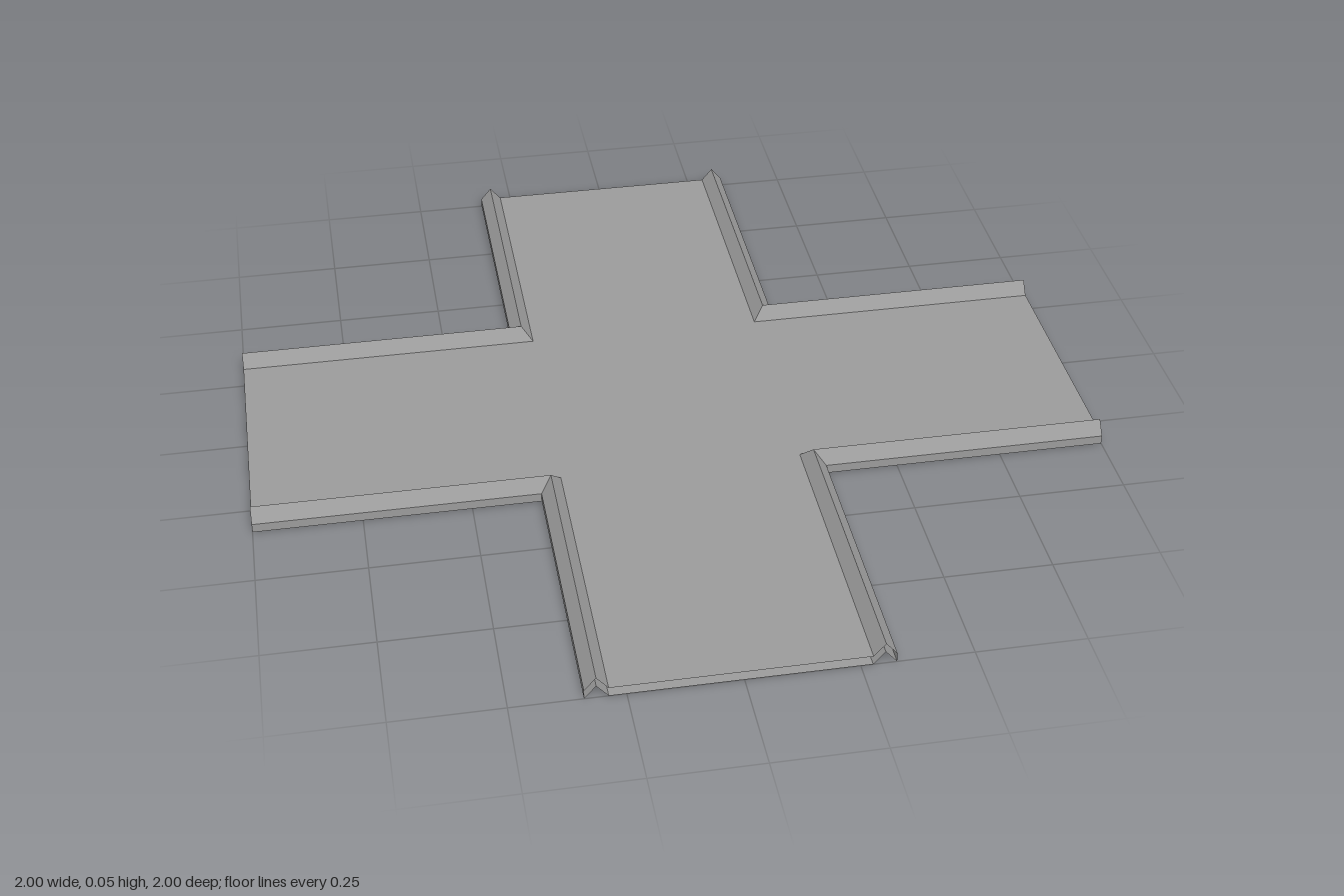
import * as THREE from 'three';

const material = new THREE.MeshStandardMaterial({ color: 0x9b9b9b, flatShading: true, side: THREE.DoubleSide });

// Outer corner points of the four L-shaped rails, in order around the cross
const corners = [[0.329, 0.337], [0.337, -0.332], [-0.332, -0.342], [-0.34, 0.329]];

// Rail section: distance inward from the outer edge, height
const RAIL = 0.052, FLOOR = 0.022;
const section = [[RAIL, FLOOR], [0.026, 0.053], [0, FLOOR], [0, 0], [0.026, 0.031], [RAIL, 0]];

// Mitred L path round one corner, moved inward by d
function cornerPath([cx, cz], d) {
  const sx = Math.sign(cx), sz = Math.sign(cz);
  const x = cx - sx * d, z = cz - sz * d;
  return [[x, sz], [x, z], [sx, z]];
}

// Folded rail swept round one corner, open at its ends
function railGeometry(corner) {
  const flip = corner[0] * corner[1] < 0;
  const pos = [], index = [];
  for (const [d, y] of section) {
    for (const [x, z] of cornerPath(corner, d)) pos.push(x, y, z);
  }
  for (let j = 0; j < section.length - 1; j++) {
    for (let i = 0; i < 2; i++) {
      const a = j * 3 + i, b = a + 3, c = a + 1, e = b + 1;
      index.push(...(flip ? [a, c, b, b, c, e] : [a, b, c, b, e, c]));
    }
  }
  const g = new THREE.BufferGeometry();
  g.setAttribute('position', new THREE.Float32BufferAttribute(pos, 3));
  g.setIndex(index);
  const flat = g.toNonIndexed();
  flat.computeVertexNormals();
  return flat;
}

// Cross-shaped sheet, facing up or down
function sheetGeometry(y, up) {
  const points = corners.flatMap((c, i) => {
    const path = cornerPath(c, RAIL);
    if (i % 2) path.reverse();
    return path.map(([x, z]) => new THREE.Vector2(x, up ? -z : z));
  });
  const g = new THREE.ShapeGeometry(new THREE.Shape(points));
  return g.rotateX(up ? -Math.PI / 2 : Math.PI / 2).translate(0, y, 0);
}

export function createModel() {
  const group = new THREE.Group();
  group.name = 'crossJunction';
  const add = (name, geometry) => {
    const mesh = new THREE.Mesh(geometry, material);
    mesh.name = name;
    group.add(mesh);
  };

  // Floor and underside, with open ends between them
  add('floor', sheetGeometry(FLOOR, true));
  add('underside', sheetGeometry(0, false));

  // Ridged rails
  const names = ['frontLeftRail', 'backLeftRail', 'backRightRail', 'frontRightRail'];
  corners.forEach((c, i) => add(names[i], railGeometry(c)));
  return group;
}
